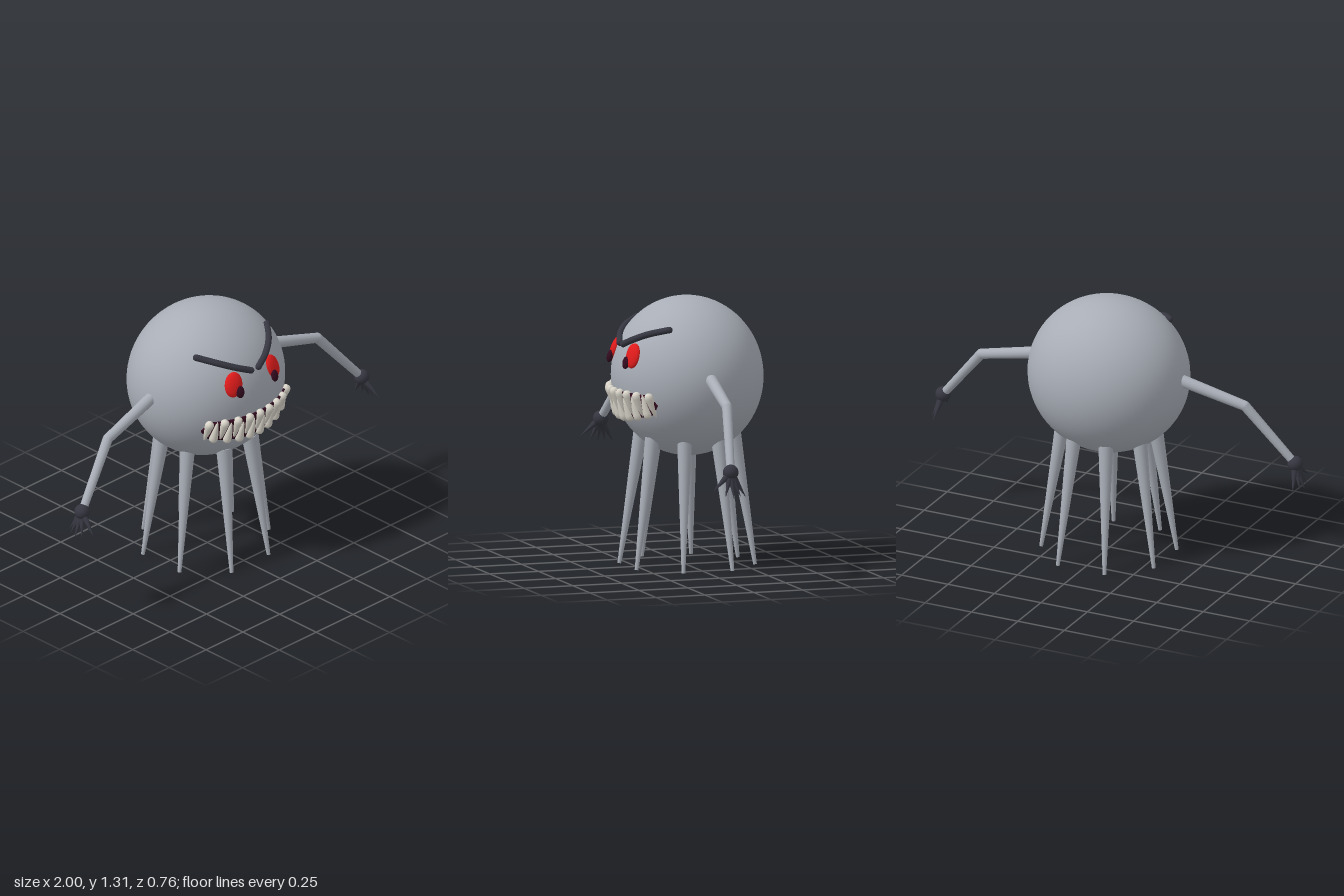
import * as THREE from 'three';

const V = (x, y, z) => new THREE.Vector3(x, y, z);
const UP = V(0, 1, 0);
const CENTER = V(0, 0.92, -0.01), RADII = V(0.4, 0.387, 0.365);

const material = (name, color) => Object.assign(new THREE.MeshStandardMaterial({ color }), { name });

// Point on the front of the body at (x, y), with its outward normal.
function onBody(x, y, lift = 0) {
  const a = x / RADII.x, b = (y - CENTER.y) / RADII.y;
  const c = Math.sqrt(Math.max(0, 1 - a * a - b * b));
  const normal = V(a / RADII.x, b / RADII.y, c / RADII.z).normalize();
  const point = V(x, y, CENTER.z + c * RADII.z).addScaledVector(normal, lift);
  return { point, normal };
}

export function createModel() {
  const grey = material('body grey', 0xa8adb6);
  const dark = material('charcoal', 0x353640);
  const red = material('eye red', 0xe01b1b);
  const maroon = material('mouth maroon', 0x330a1e);
  const bone = material('tooth ivory', 0xd9d5ca);

  const model = new THREE.Group();
  model.name = 'spiderMonster';

  const add = (name, geometry, mat, position, parent = model) => {
    const mesh = new THREE.Mesh(geometry, mat);
    mesh.name = name;
    if (position) mesh.position.copy(position);
    parent.add(mesh);
    return mesh;
  };
  const ball = (name, r, mat, position, parent) =>
    add(name, new THREE.SphereGeometry(r, 20, 14), mat, position, parent);
  // Tapered rod from a (radius ra) to b (radius rb).
  const rod = (name, a, b, ra, rb, mat, parent) => {
    const dir = b.clone().sub(a);
    const mesh = add(name, new THREE.CylinderGeometry(rb, ra, dir.length(), 16), mat,
      a.clone().add(b).multiplyScalar(0.5), parent);
    mesh.quaternion.setFromUnitVectors(UP, dir.normalize());
    return mesh;
  };

  // Body
  add('body', new THREE.SphereGeometry(1, 64, 40), grey, CENTER).scale.copy(RADII);

  // Eight legs in a ring
  for (let i = 0; i < 8; i++) {
    const a = (i + 0.5) * Math.PI / 4, c = Math.cos(a), s = Math.sin(a);
    rod('leg', V(0.225 * c, 0.635, 0.225 * s - 0.01), V(0.328 * c, 0, 0.328 * s - 0.01),
      0.036, 0.009, grey);
  }

  for (const s of [-1, 1]) {
    const side = s > 0 ? 'left' : 'right';

    // Arm
    const arm = new THREE.Group();
    arm.name = side + 'Arm';
    model.add(arm);
    const shoulder = V(s * 0.36, 0.955, 0), elbow = V(s * 0.71, 0.865, 0.035);
    const wrist = V(s * 0.948, 0.582, 0.1);
    ball('shoulder', 0.03, grey, shoulder, arm);
    rod('upperArm', shoulder, elbow, 0.03, 0.025, grey, arm);
    ball('elbow', 0.025, grey, elbow, arm);
    rod('forearm', elbow, wrist, 0.025, 0.02, grey, arm);

    // Hand with clawed fingers
    ball('palm', 0.038, dark, wrist, arm);
    const tips = [[0.97, 0.497, 0.195], [0.99, 0.472, 0.14], [0.998, 0.46, 0.1],
      [0.99, 0.47, 0.065], [0.968, 0.465, 0.032]];
    for (const [x, y, z] of tips) {
      const tip = V(s * x, y, z);
      rod('claw', wrist.clone().lerp(tip, 0.2), tip, 0.017, 0.001, dark, arm);
    }

    // Eye and pupil
    const eyeSpot = onBody(s * 0.132, 1.047);
    const eye = add(side + 'Eye', new THREE.SphereGeometry(1, 28, 18), red, eyeSpot.point);
    eye.scale.set(0.046, 0.062, 0.022);
    eye.lookAt(eyeSpot.point.clone().add(eyeSpot.normal));
    eye.rotateZ(s * 0.2);
    const pupilSpot = onBody(s * 0.113, 1.01, 0.015);
    const pupil = add(side + 'Pupil', new THREE.SphereGeometry(1, 20, 14), maroon, pupilSpot.point);
    pupil.scale.set(0.022, 0.031, 0.015);
    pupil.lookAt(pupilSpot.point.clone().add(pupilSpot.normal));

    // Brow following the body
    const path = [[0.235, 1.175], [0.165, 1.148], [0.095, 1.117], [0.025, 1.087]]
      .map(([x, y]) => onBody(s * x, y, 0.008).point);
    add(side + 'Brow', new THREE.TubeGeometry(new THREE.CatmullRomCurve3(path), 24, 0.016, 12), dark);
    ball(side + 'BrowEnd', 0.016, dark, path[0]);
    ball(side + 'BrowEnd', 0.016, dark, path[3]);
  }

  // Mouth: a curved patch with pointed corners, its rim sunk into the body
  const lowerLip = x => 0.735 + 0.04 * (x / 0.25) ** 2;
  const mouth = new THREE.PlaneGeometry(2, 1, 44, 10);
  const pos = mouth.attributes.position;
  for (let i = 0; i < pos.count; i++) {
    const x = pos.getX(i) * 0.277;
    const row = 0.5 - pos.getY(i);
    const rim = row < 0.01 || row > 0.99;
    const t = THREE.MathUtils.clamp((row - 0.1) / 0.8, 0, 1);
    const pinch = THREE.MathUtils.clamp((Math.abs(x) - 0.25) / 0.027, 0, 1);
    const y = THREE.MathUtils.lerp(THREE.MathUtils.lerp(0.868, lowerLip(x), t), 0.82, pinch);
    const p = onBody(x, y, rim ? -0.01 : 0.01).point;
    pos.setXYZ(i, p.x, p.y, p.z);
  }
  mouth.computeVertexNormals();
  add('mouth', mouth, maroon).material.side = THREE.DoubleSide;

  // Teeth: round root at the origin, point along +y
  const profile = [[0, -0.022], [0.011, -0.019], [0.019, -0.011], [0.022, 0], [0.021, 0.012],
    [0.015, 0.055], [0.008, 0.09], [0, 0.108]].map(([x, y]) => new THREE.Vector2(x, y));
  const toothShape = new THREE.LatheGeometry(profile, 16);
  const tooth = (name, x, y, tipY) => {
    const root = onBody(x, y, 0.012).point, tip = onBody(x, tipY, 0.012).point;
    const mesh = add(name, toothShape, bone, root);
    mesh.quaternion.setFromUnitVectors(UP, tip.sub(root).normalize());
  };
  for (let i = -4; i <= 4; i++) tooth('upperTooth', i * 0.063, 0.86, 0.76);
  for (let i = -3.5; i <= 3.5; i++) {
    const x = i * 0.063, y = lowerLip(x) + 0.008;
    tooth('lowerTooth', x, y, y + 0.1);
  }

  return model;
}
